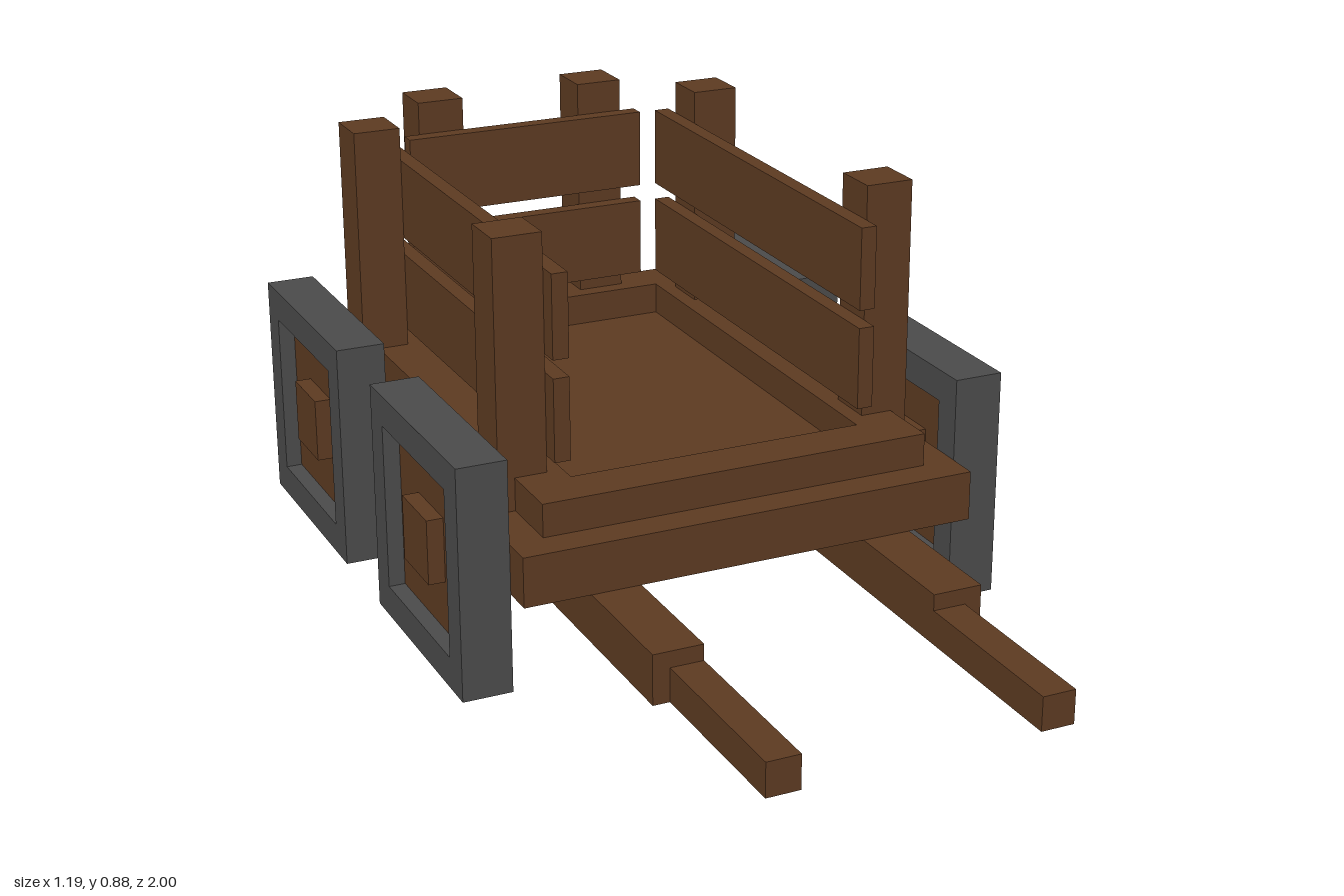
import * as THREE from 'three';

const wood = new THREE.MeshStandardMaterial({ color: 0x5c3a21 });
wood.name = 'wood brown';
const iron = new THREE.MeshStandardMaterial({ color: 0x4a4a4a });
iron.name = 'tyre grey';

// Box given by its extents on each axis
function block(parent, name, [x0, x1], [y0, y1], [z0, z1], material = wood) {
  const mesh = new THREE.Mesh(new THREE.BoxGeometry(x1 - x0, y1 - y0, z1 - z0), material);
  mesh.position.set((x0 + x1) / 2, (y0 + y1) / 2, (z0 + z1) / 2);
  mesh.name = name;
  parent.add(mesh);
  return mesh;
}

// Rectangular ring of a given border and depth, centred, extruded along +z
function ringGeometry(w, h, border, depth) {
  const rect = (Type, a, b) => new Type([
    new THREE.Vector2(-a, -b), new THREE.Vector2(a, -b),
    new THREE.Vector2(a, b), new THREE.Vector2(-a, b),
  ]);
  const shape = rect(THREE.Shape, w / 2, h / 2);
  shape.holes.push(rect(THREE.Path, w / 2 - border, h / 2 - border));
  return new THREE.ExtrudeGeometry(shape, { depth, bevelEnabled: false });
}

// Square wheel: grey rim, recessed wooden panel and hub
function makeWheel(side, z) {
  const wheel = new THREE.Group();
  wheel.name = 'wheel';
  const rim = new THREE.Mesh(ringGeometry(0.488, 0.49, 0.067, 0.105), iron);
  rim.name = 'wheelRim';
  rim.rotation.y = Math.PI / 2;
  rim.position.x = -0.0525;
  wheel.add(rim);
  block(wheel, 'wheelPanel', [-0.0175, 0.0175], [-0.178, 0.178], [-0.177, 0.177]);
  block(wheel, 'wheelHub', [-0.0525, 0.0525], [-0.069, 0.069], [-0.07, 0.07]);
  wheel.position.set(side * 0.5425, 0.245, z);
  return wheel;
}

export function createModel() {
  const cart = new THREE.Group();
  cart.name = 'cart';

  // Deck with a raised border around the load floor
  block(cart, 'deck', [-0.49, 0.49], [0.21, 0.315], [-1, 0.33]);
  const border = new THREE.Mesh(ringGeometry(0.84, 1.19, 0.102, 0.07), wood);
  border.name = 'deckBorder';
  border.rotation.x = -Math.PI / 2;
  border.position.set(0, 0.315, -0.335);
  cart.add(border);

  const plankRows = [[0.42, 0.595], [0.633, 0.808]];
  for (const row of plankRows) block(cart, 'backPlank', [-0.28, 0.28], row, [-0.865, -0.83]);

  for (const side of [-1, 1]) {
    const span = (a, b) => (side > 0 ? [a, b] : [-b, -a]);

    // Side and back walls
    for (const row of plankRows) block(cart, 'sidePlank', span(0.318, 0.352), row, [-0.83, 0.16]);
    for (const z of [-0.79, 0.015]) block(cart, 'sidePost', span(0.352, 0.455), [0.315, 0.88], [z, z + 0.103]);
    block(cart, 'backPost', span(0.14, 0.245), [0.315, 0.88], [-0.97, -0.865]);

    // Stepped pulling shaft running under the deck
    block(cart, 'shaft', span(0.245, 0.35), [0.105, 0.21], [-0.68, 0.61]);
    block(cart, 'shaftHandle', span(0.245, 0.315), [0.105, 0.176], [0.61, 1]);

    for (const z of [0.018, -0.684]) cart.add(makeWheel(side, z));
  }
  return cart;
}
